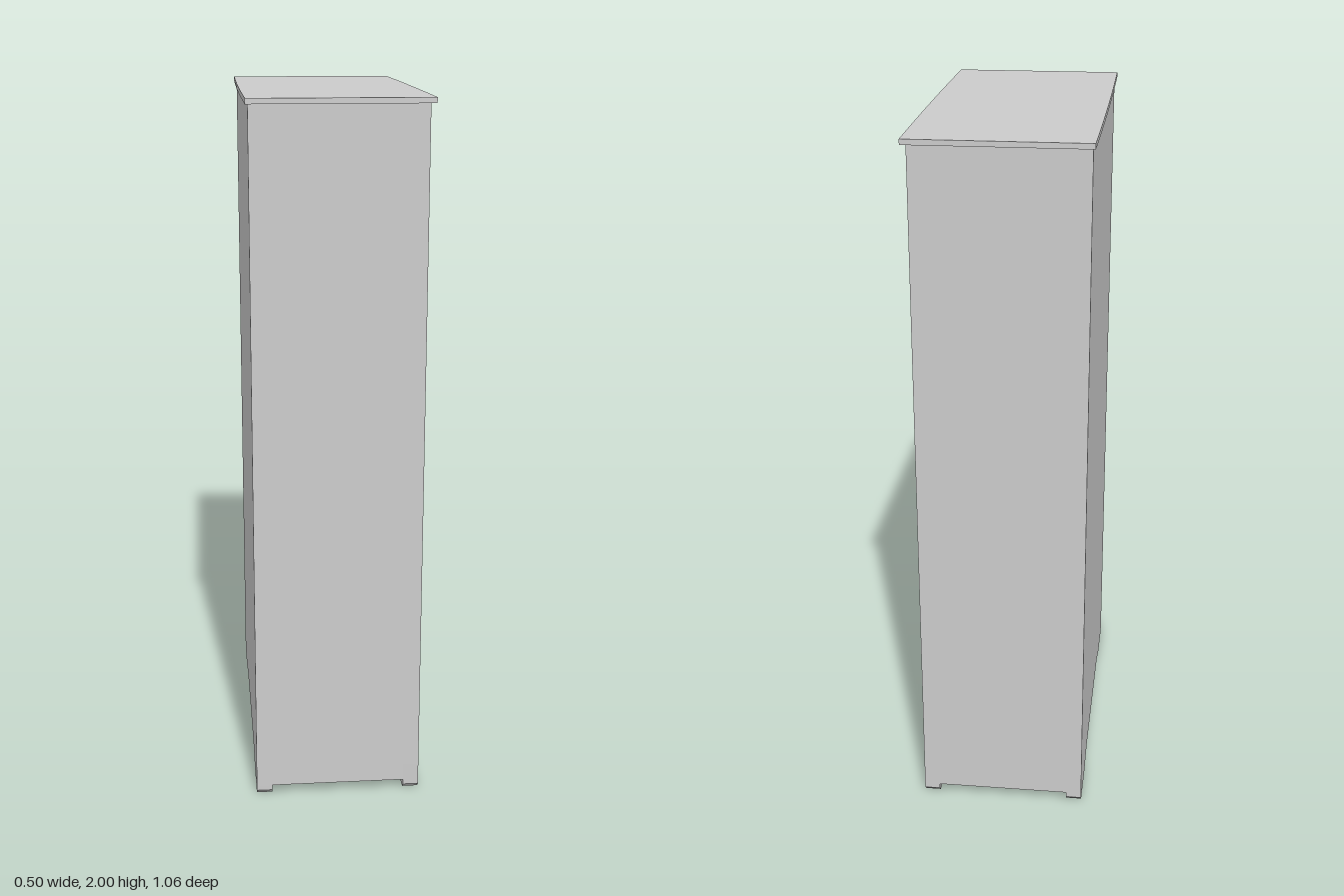
import * as THREE from 'three';

const FRONT = 0.235, BACK = -0.24;   // the open side faces +x
const HALF = 0.505;                  // half width along z
const FLOOR = 0.03, ROOF = 1.985;

export function createModel() {
  const group = new THREE.Group();
  const material = new THREE.MeshStandardMaterial({ color: 0xcccccc, flatShading: true });

  const add = (name, geometry) => {
    const mesh = new THREE.Mesh(geometry, material);
    mesh.name = name;
    group.add(mesh);
  };
  const extrude = (points, depth) => new THREE.ExtrudeGeometry(
    new THREE.Shape(points.map(([a, b]) => new THREE.Vector2(a, b))),
    { depth, bevelEnabled: false });

  // Outline in (x, z), raised from y0 to y1
  const upright = (points, y0, y1) =>
    extrude(points.map(([x, z]) => [x, -z]), y1 - y0).rotateX(-Math.PI / 2).translate(0, y0, 0);
  // Outline in (z, y), running from x0 to x1
  const crosswise = (points, x0, x1) =>
    extrude(points.map(([z, y]) => [-z, y]), x1 - x0).rotateY(Math.PI / 2).translate(x0, 0, 0);
  // Outline in (x, y), running from z0 to z1
  const lengthwise = (points, z0, z1) => extrude(points, z1 - z0).translate(0, 0, z0);

  // Top board with a very slight bow on its long edges
  const bow = [];
  for (let i = 0; i <= 8; i++) {
    const t = i / 4 - 1;
    bow.push([0.25 - 0.003 * t * t, 0.53 * t]);
  }
  add('topBoard', upright([...bow, ...bow.map(([x, z]) => [-x, -z])], ROOF, 2));

  // Back panel and bottom panel
  add('backPanel', upright([[BACK, -HALF], [-0.225, -HALF], [-0.225, HALF], [BACK, HALF]], FLOOR, ROOF));
  add('bottomPanel', lengthwise([[BACK, FLOOR], [0.2, FLOOR], [0.2, 0.09], [BACK, 0.09]], -HALF + 0.002, HALF - 0.002));

  // Shaped base rails with bracket feet, front and back
  const halfRail = [[0.245, FLOOR], [0.27, 0.025], [0.345, 0.002], [0.36, 0], [0.49, 0], [HALF, 0.015], [HALF, 0.08]];
  const rail = [...halfRail, ...halfRail.map(([z, y]) => [-z, y]).reverse()];
  add('frontBaseRail', crosswise(rail, 0.19, FRONT));
  add('backBaseRail', crosswise(rail, BACK, -0.195));

  for (const side of [1, -1]) {
    // Outer wall, its inner front edge chamfered
    add('sideWall', upright([
      [BACK, side * HALF], [FRONT, side * HALF], [FRONT, side * 0.496],
      [0.222, side * 0.485], [BACK, side * 0.485],
    ], FLOOR, ROOF));

    // Half of the paired centre divider, with a fine groove at the joint
    add('centreDivider', upright([
      [BACK, 0], [0.229, 0], [FRONT, side * 0.004], [FRONT, side * 0.013],
      [0.222, side * 0.024], [BACK, side * 0.024],
    ], FLOOR, ROOF));

    const z0 = side > 0 ? 0.015 : -0.49, z1 = side > 0 ? 0.49 : -0.015;

    // Header board and ceiling, with a bevelled lower front edge
    add('header', lengthwise([
      [BACK + 0.01, 1.905], [0.218, 1.905], [FRONT, 1.92], [FRONT, ROOF], [BACK + 0.01, ROOF],
    ], z0 - (side < 0 ? 0.01 : 0), z1 + (side > 0 ? 0.01 : 0)));

    // Bottom shelf, sloping down to the base rail
    add('bottomShelf', lengthwise([
      [BACK + 0.01, 0.075], [FRONT, 0.075], [FRONT, 0.085], [0.215, 0.11], [BACK + 0.01, 0.11],
    ], z0, z1));

    // Shelves with a bevelled nose
    for (const y of [0.518, 1.006, 1.5]) {
      add('shelf', lengthwise([
        [BACK + 0.01, y - 0.016], [0.22, y - 0.016], [0.228, y - 0.01],
        [0.228, y], [0.212, y + 0.016], [BACK + 0.01, y + 0.016],
      ], z0, z1));
    }
  }

  return group;
}
